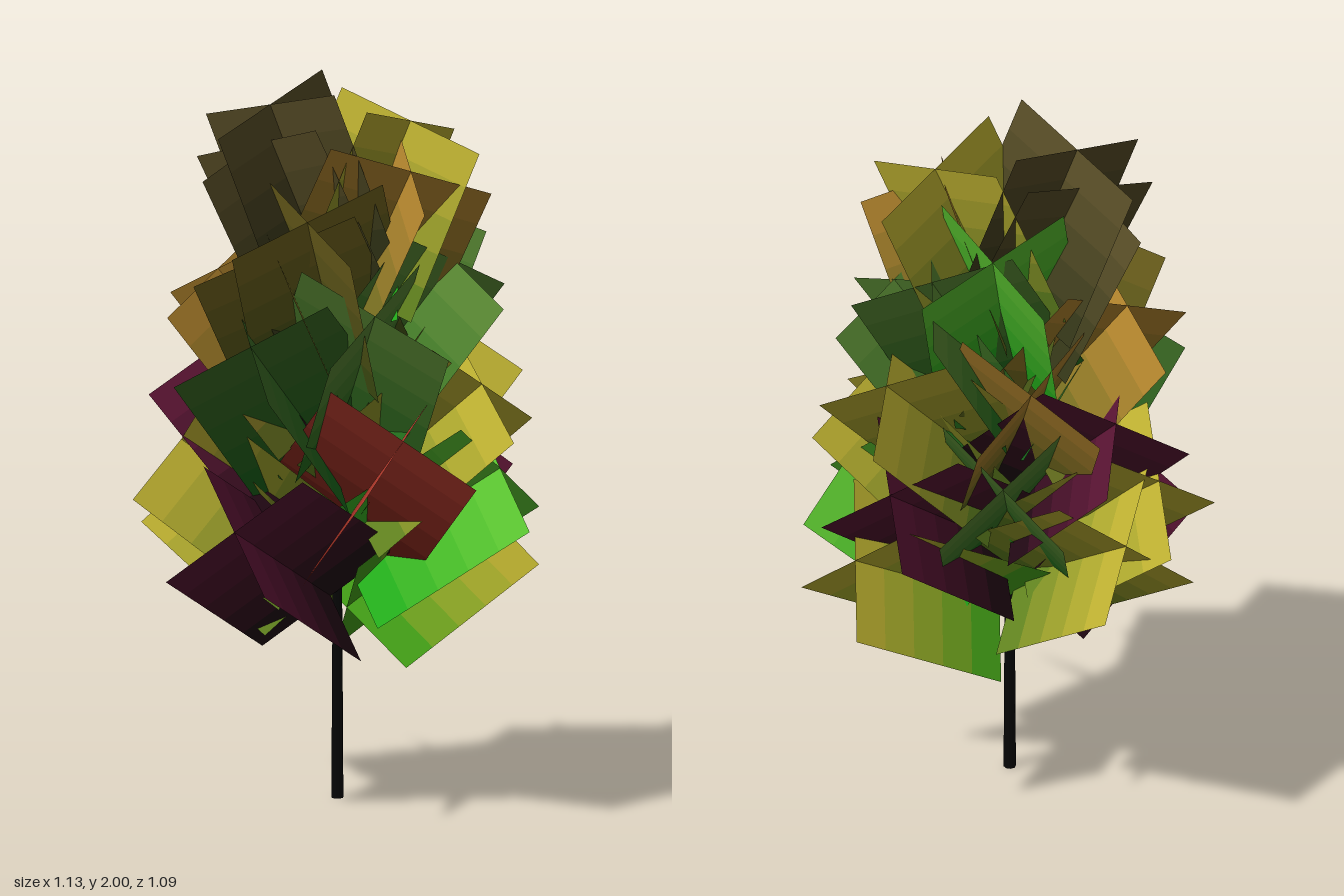
import * as THREE from 'three';

// Inner and outer colour of each foliage type
const TINTS = {
  purple: [0x10060c, 0x5c1434], red: [0x6a1a10, 0xb83c2e],
  lime: [0x14a814, 0xc8b432], bright: [0x12ac18, 0x60c832],
  green: [0x146a18, 0x5c8a34], dark: [0x106418, 0x3c6a24],
  olive: [0x3e5414, 0x7a6a20], yellow: [0x4c7c1c, 0xc4b432],
  orange: [0x4c6418, 0xb8862e], brown: [0x2e3416, 0x5c5028],
};

// Height on the trunk, heading in degrees (0 = +x, 90 = +z), foliage type
const BRANCHES = [
  [0.51, -20, 'lime'], [0.55, 142, 'purple'], [0.59, 232, 'yellow'], [0.63, 19, 'bright'],
  [0.67, 207, 'yellow'], [0.69, -34, 'purple'], [0.74, 79, 'red'], [0.76, 279, 'green'],
  [0.81, 23, 'yellow'], [0.85, 228, 'purple'], [0.9, -19, 'yellow'], [0.925, 145, 'dark'],
  [0.96, 267, 'orange'], [1.0, 87, 'green'], [1.05, 196, 'orange'], [1.07, 15, 'green'],
  [1.13, 140, 'olive'], [1.17, 325, 'green'], [1.2, 122, 'olive'], [1.25, 287, 'bright'],
  [1.295, 47, 'orange'], [1.34, 192, 'brown'], [1.385, 3, 'yellow'], [1.435, 189, 'brown'],
];

const BANDS = 5;
const TRUNK_X = -0.02;
const CARD_LENGTH = 0.5;
const CARD_WIDTH = 0.48;
const STEM_GAP = 0.035;

// Two square cards crossing along a branch axis (local +x), tinted in bands
function createLeafCluster([inner, outer]) {
  const cluster = new THREE.Group();
  const step = CARD_LENGTH / BANDS;
  const band = new THREE.PlaneGeometry(step, CARD_WIDTH);
  for (let i = 0; i < BANDS; i++) {
    const color = new THREE.Color(inner).lerp(new THREE.Color(outer), (i + 0.5) / BANDS);
    const material = new THREE.MeshStandardMaterial({ color, side: THREE.DoubleSide });
    for (const side of [-1, 1]) {
      const card = new THREE.Mesh(band, material);
      card.name = 'leafCard';
      card.position.x = STEM_GAP + (i + 0.5) * step;
      card.rotation.x = side * Math.PI / 4;
      cluster.add(card);
    }
  }
  return cluster;
}

export function createModel() {
  const model = new THREE.Group();
  model.name = 'tree';

  // Slim tapered trunk
  const trunk = new THREE.Mesh(
    new THREE.CylinderGeometry(0.008, 0.017, 1.48, 8),
    new THREE.MeshStandardMaterial({ color: 0x060606 }),
  );
  trunk.name = 'trunk';
  trunk.position.set(TRUNK_X, 0.74, 0);
  model.add(trunk);

  // Branches wind up the trunk, growing steeper towards the top
  const foliage = new THREE.Group();
  foliage.name = 'foliage';
  for (const [height, heading, tint] of BRANCHES) {
    const cluster = createLeafCluster(TINTS[tint]);
    cluster.name = 'leafCluster';
    cluster.position.set(TRUNK_X, height, 0);
    cluster.rotation.order = 'YZX';
    cluster.rotation.y = -THREE.MathUtils.degToRad(heading);
    cluster.rotation.z = THREE.MathUtils.degToRad(30 + 45 * (height - 0.55));
    foliage.add(cluster);
  }
  model.add(foliage);
  return model;
}
